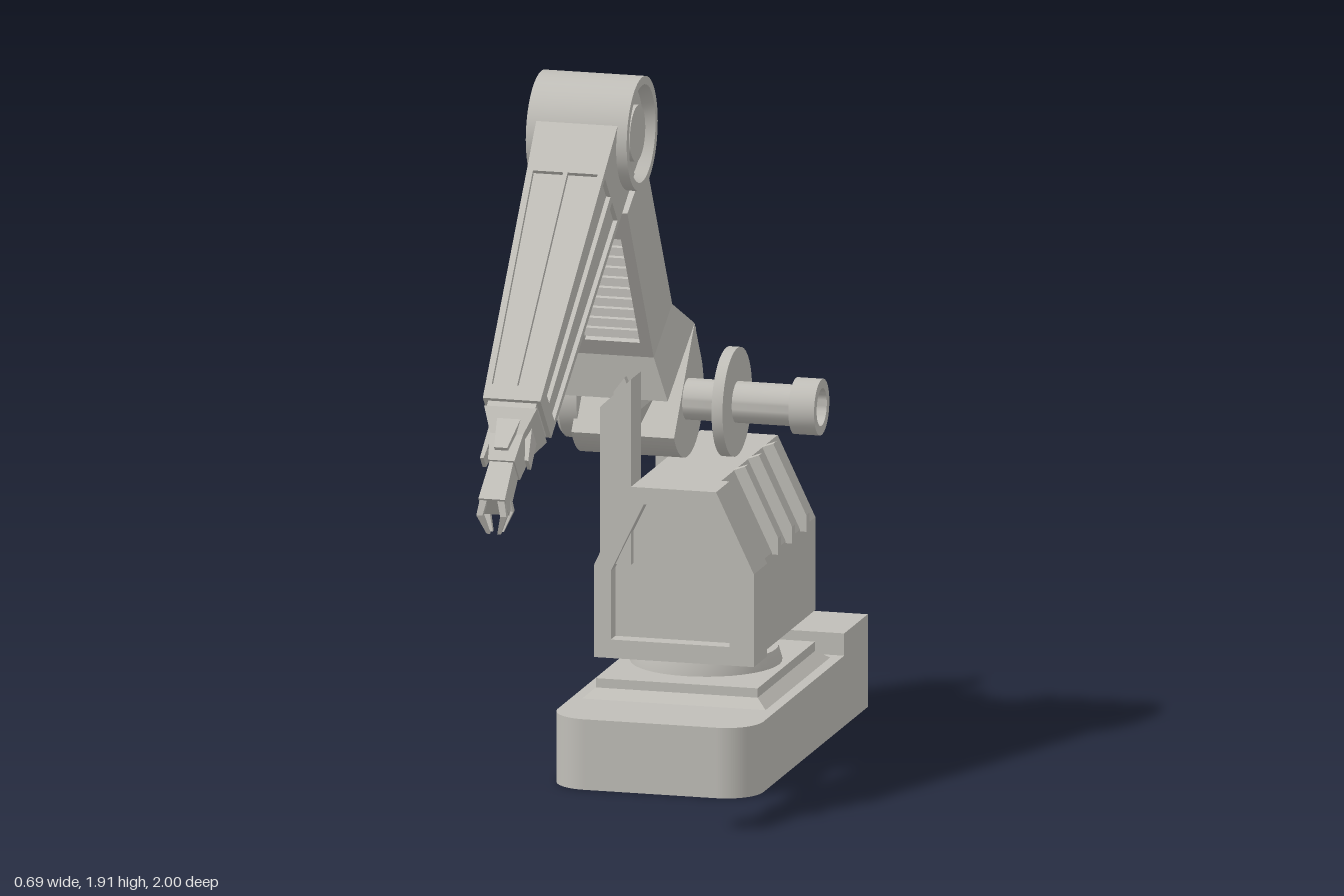
import * as THREE from 'three';
import { toCreasedNormals } from 'three/addons/utils/BufferGeometryUtils.js';

export function createModel() {
  const root = new THREE.Group();
  root.name = 'robotArm';
  const grey = new THREE.MeshStandardMaterial({ color: 0xc0beb8, side: THREE.DoubleSide });
  grey.name = 'warmGrey';

  const add = (name, geo, parent = root) => {
    const m = new THREE.Mesh(geo, grey);
    m.name = name;
    parent.add(m);
    return m;
  };
  const group = (name, x, y, z, rx) => {
    const g = new THREE.Group();
    g.name = name;
    g.position.set(x, y, z);
    g.rotation.x = rx;
    root.add(g);
    return g;
  };
  const poly = (pts) => new THREE.Shape(pts.map(([x, y]) => new THREE.Vector2(x, y)));
  const extrude = (shape, depth, hole) => {
    if (hole) shape.holes.push(hole);
    return new THREE.ExtrudeGeometry(shape, { depth, bevelEnabled: false, curveSegments: 16 });
  };
  // slab standing upright, from z0 forward to z1
  const alongZ = (name, pts, z0, z1, hole) =>
    add(name, extrude(poly(pts), z1 - z0, hole && poly(hole)).translate(0, 0, z0));
  // plan shape drawn in (x, -z), raised from y0 to y1
  const alongY = (name, shape, y0, y1, hole) =>
    add(name, extrude(shape, y1 - y0, hole).rotateX(-Math.PI / 2).translate(0, y0, 0));
  // tapered block between two sections [y, x0, x1, z0, z1]
  const taper = (name, a, b, parent) => {
    const geo = new THREE.BoxGeometry(1, 1, 1);
    const p = geo.attributes.position;
    const order = (u, v) => [Math.min(u, v), Math.max(u, v)];
    for (let i = 0; i < p.count; i++) {
      const s = (p.getY(i) > 0) === (b[0] > a[0]) ? b : a;
      const xs = order(s[1], s[2]), zs = order(s[3], s[4]);
      p.setXYZ(i, xs[p.getX(i) > 0 ? 1 : 0], s[0], zs[p.getZ(i) > 0 ? 1 : 0]);
    }
    geo.computeVertexNormals();
    return add(name, geo, parent);
  };
  const lathe = (pts) => toCreasedNormals(
    new THREE.LatheGeometry(pts.map(([r, y]) => new THREE.Vector2(r, y)), 40), 0.6);

  // Hollow base with rounded front corners and a raised rear
  const basePlan = (o) => {
    const s = new THREE.Shape(), r = 0.1 - o, x0 = -0.25 + o, x1 = 0.31 - o, f = -0.12 + o, b = 1 - o;
    s.moveTo(x0, b);
    s.lineTo(x0, f + r);
    s.absarc(x0 + r, f + r, r, Math.PI, Math.PI * 1.5);
    s.absarc(x1 - r, f + r, r, -Math.PI / 2, 0);
    s.lineTo(x1, b);
    s.closePath();
    return s;
  };
  const rect = (x0, x1, y0, y1) => poly([[x0, y0], [x1, y0], [x1, y1], [x0, y1]]);
  alongY('baseWall', basePlan(0), 0, 0.184, basePlan(0.006));
  const deck = basePlan(0);
  deck.holes.push(rect(-0.19, 0.25, 0.14, 0.70));
  alongY('baseDeck', deck, 0.184, 0.19, rect(-0.243, 0.303, 0.777, 0.993));
  alongY('rearWall', rect(-0.25, 0.31, 0.77, 1), 0.19, 0.245, rect(-0.244, 0.304, 0.776, 0.994));
  alongY('rearTop', rect(-0.25, 0.31, 0.77, 1), 0.245, 0.25);

  // Stepped plinth and turntable
  taper('plinthSlope', [0.19, -0.22, 0.28, -0.74, -0.11], [0.215, -0.19, 0.25, -0.70, -0.14]);
  taper('plinthTop', [0.215, -0.19, 0.25, -0.70, -0.14], [0.24, -0.19, 0.25, -0.70, -0.14]);
  add('turntable', lathe([[0, 0.17], [0.2, 0.17], [0.2, 0.245], [0.19, 0.28], [0.09, 0.28],
    [0.09, 0.315], [0, 0.315]]).translate(0.03, 0, -0.425));

  // Housing with a framed front, plain rear and slanted ribs
  const housing = (r) => [[-0.18, 0.31], [r, 0.31], [r, 0.56], [r - 0.103, 0.775], [-0.08, 0.775], [-0.18, 0.56]];
  alongZ('housingFrame', housing(0.255), -0.13, -0.085,
    [[-0.135, 0.36], [0.188, 0.36], [0.188, 0.545], [0.1, 0.73], [-0.045, 0.73], [-0.135, 0.545]]);
  alongZ('housingFront', housing(0.255), -0.215, -0.13);
  alongZ('housingRear', housing(0.233), -0.765, -0.215);
  for (const z of [-0.355, -0.49, -0.63])
    alongZ('housingRib', [[0.2, 0.555], [0.25, 0.555], [0.25, 0.6], [0.16, 0.787], [0.1, 0.765]], z - 0.015, z + 0.015);

  // Shoulder supports and the beam joining them
  for (const z of [-0.2, -0.74])
    alongZ('support', [[-0.17, 0.56], [-0.085, 0.56], [-0.085, 1.06], [-0.17, 0.98]], z, z + 0.095);
  alongZ('supportBeam', [[-0.16, 0.855], [-0.13, 0.855], [-0.095, 0.95], [-0.13, 1.04], [-0.16, 1.0]], -0.65, -0.2);

  // Drive shaft with disc and hollow knob, and the cap on the far side
  const onAxle = (name, pts, x, y, z) => add(name, lathe(pts).rotateZ(-Math.PI / 2).translate(x, y, z));
  onAxle('driveShaft', [[0, -0.03], [0.055, -0.03], [0.055, 0.085], [0.145, 0.085], [0.145, 0.115],
    [0.055, 0.115], [0.055, 0.275], [0.075, 0.275], [0.075, 0.345], [0.05, 0.345], [0.05, 0.315], [0, 0.315]],
  0, 0.94, -0.425);
  onAxle('shoulderCap', [[0, -0.35], [0.11, -0.35], [0.12, -0.34], [0.12, -0.29], [0, -0.29]], 0, 0.94, -0.425);

  // Lower arm: rounded shoulder, taper, and beam with a slatted front
  const lower = group('lowerArm', -0.16, 0.94, -0.425, Math.PI / 6);
  const round = new THREE.Shape();
  round.moveTo(-0.152, 0.13);
  round.absarc(0, 0, 0.155, Math.PI, Math.PI * 2);
  round.lineTo(0.152, 0.13);
  round.closePath();
  add('shoulder', extrude(round, 0.28).translate(0, 0, -0.14).rotateY(Math.PI / 2), lower);
  taper('shoulderTaper', [0.13, -0.14, 0.14, -0.152, 0.152], [0.24, -0.106, 0.106, -0.104, 0.104], lower);
  taper('lowerBeam', [0.24, -0.106, 0.106, -0.104, 0.08], [0.755, -0.106, 0.106, -0.104, 0.08], lower);
  add('lowerFrame', extrude(rect(-0.106, 0.106, 0.24, 0.755), 0.024, rect(-0.075, 0.075, 0.29, 0.66))
    .translate(0, 0, 0.08), lower);
  for (let i = 0; i < 10; i++) {
    const y = 0.3 + i * 0.037;
    taper('slat', [y, -0.075, 0.075, 0.078, 0.1], [y + 0.018, -0.075, 0.075, 0.078, 0.088], lower);
  }
  taper('elbowNeck', [0.755, -0.08, 0.08, -0.085, 0.06], [0.82, -0.08, 0.08, -0.07, 0.06], lower);

  // Elbow drum, recessed with a hub at both ends
  const half = [[0, 0.125], [0.075, 0.125], [0.075, 0.105], [0.12, 0.105], [0.13, 0.1375], [0.152, 0.1375]];
  onAxle('elbow', [...half.map(([r, y]) => [r, -y]), ...half.slice().reverse()], -0.1575, 1.755, 0.02);

  // Forearm: sunken core framed by rails, mid ribs and collars
  const fore = group('forearm', -0.158, 1.755, 0.02, THREE.MathUtils.degToRad(131));
  const cz = -0.016;
  const hw = (f) => 0.11 - (f - 0.1) * 0.037;
  const hh = (f) => 0.115 - (f - 0.1) * 0.04;
  const section = (f, d = 0) => [f, -hw(f) + d, hw(f) - d, cz - hh(f) + d, cz + hh(f) - d];
  taper('forearmCore', section(0.2, 0.012), section(0.92, 0.012), fore);
  taper('forearmRoot', section(0.06), section(0.23), fore);
  taper('forearmCollar', section(0.905), section(0.95), fore);
  for (const sx of [-1, 1]) {
    for (const sz of [-1, 1]) {
      const rail = (f) => [f, sx * (hw(f) - 0.017), sx * hw(f), cz + sz * (hh(f) - 0.017), cz + sz * hh(f)];
      taper('forearmRail', rail(0.22), rail(0.91), fore);
    }
    const sideRib = (f) => [f, sx * (hw(f) - 0.015), sx * hw(f), cz - 0.012, cz + 0.012];
    const faceRib = (f) => [f, -0.006, 0.006, cz + sx * (hh(f) - 0.015), cz + sx * hh(f)];
    taper('sideRib', sideRib(0.22), sideRib(0.91), fore);
    taper('faceRib', faceRib(0.22), faceRib(0.91), fore);
  }

  // Wrist with four flared guards, then the palm
  const sq = (f, w, h = w) => [f, -w, w, cz - h, cz + h];
  taper('wristBand', sq(0.95, 0.066, 0.07), sq(0.97, 0.066, 0.07), fore);
  taper('wrist', sq(0.97, 0.072, 0.075), sq(1.04, 0.045, 0.052), fore);
  taper('wristEnd', sq(1.04, 0.045, 0.052), sq(1.12, 0.036, 0.042), fore);
  for (const s of [-1, 1]) {
    taper('sideGuard', [1.0, s * 0.04, s * 0.058, cz - 0.035, cz + 0.035],
      [1.1, s * 0.056, s * 0.066, cz - 0.02, cz + 0.02], fore);
    taper('faceGuard', [1.0, -0.032, 0.032, cz + s * 0.045, cz + s * 0.065],
      [1.1, -0.018, 0.018, cz + s * 0.06, cz + s * 0.072], fore);
  }
  taper('palm', sq(1.12, 0.032, 0.036), [1.245, -0.036, 0.036, -0.056, 0.012], fore);

  // Four curved claws pointing down
  const hand = group('claws', -0.158, 0.975, 0.958, 0);
  for (const sx of [-1, 1]) for (const sz of [-1, 1]) {
    const ring = (y, i, o) => [y, sx * i, sx * o, sz * i, sz * o];
    taper('clawUpper', ring(0.01, 0.012, 0.032), ring(-0.04, 0.024, 0.041), hand);
    taper('clawTip', ring(-0.04, 0.024, 0.041), ring(-0.093, 0.01, 0.019), hand);
  }
  return root;
}
